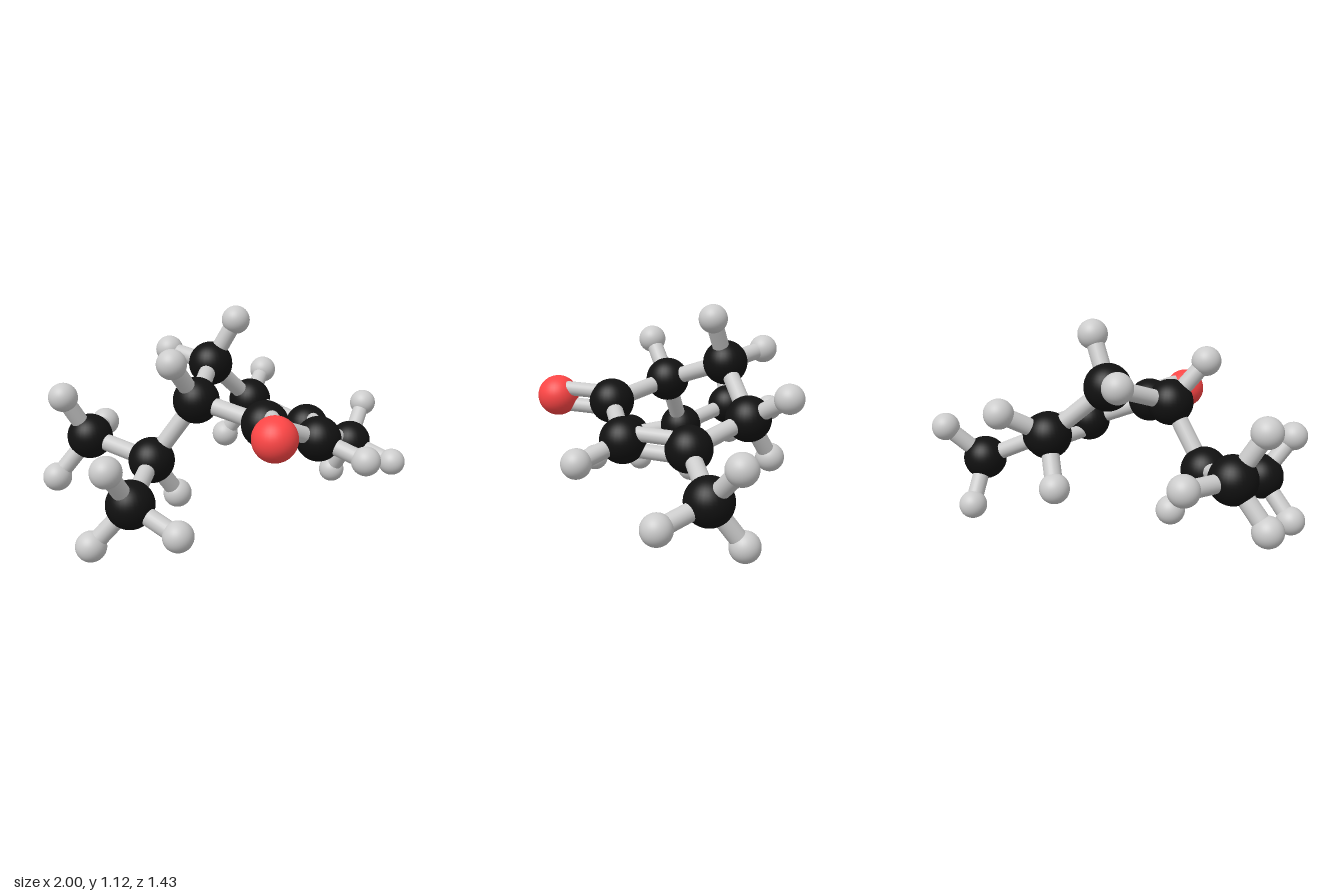
import * as THREE from 'three';

// element: [part name, radius, colour]
const ELEMENTS = {
  C: ['carbonAtom', 0.118, 0x111111],
  O: ['oxygenAtom', 0.108, 0xff4646],
  H: ['hydrogenAtom', 0.075, 0xcccccc],
};

// heavy atoms: element and position
const ATOMS = {
  branch: ['C', -0.51, 0.38, -0.10],
  branchBack: ['C', -0.72, 0.46, -0.42],
  branchFront: ['C', -0.75, 0.28, 0.19],
  ring1: ['C', -0.30, 0.69, 0.00],
  ring2: ['C', -0.09, 0.61, 0.32],
  ring3: ['C', 0.26, 0.475, 0.28],
  ring4: ['C', 0.40, 0.455, -0.03],
  ring5: ['C', 0.225, 0.56, -0.355],
  ring6: ['C', -0.065, 0.81, -0.285],
  tail: ['C', 0.745, 0.30, -0.075],
  oxygen: ['O', -0.215, 0.625, 0.605],
};

// hydrogens attached to each heavy atom
const HYDROGENS = {
  branch: [[-0.35, 0.16, -0.14]],
  branchBack: [[-0.55, 0.465, -0.645], [-0.895, 0.25, -0.465], [-0.86, 0.69, -0.40]],
  branchFront: [[-0.925, 0.08, 0.115], [-0.895, 0.49, 0.28], [-0.61, 0.17, 0.41]],
  ring1: [[-0.465, 0.90, 0.07]],
  ring3: [[0.39, 0.395, 0.51]],
  ring5: [[0.41, 0.69, -0.515], [0.135, 0.335, -0.49]],
  ring6: [[-0.20, 0.865, -0.52], [0.045, 1.05, -0.20]],
  tail: [[0.92, 0.49, -0.185], [0.86, 0.22, 0.17], [0.74, 0.08, -0.24]],
};

const SINGLE = [
  ['branch', 'branchBack'], ['branch', 'branchFront'], ['branch', 'ring1'],
  ['ring1', 'ring2'], ['ring2', 'ring3'], ['ring4', 'ring5'],
  ['ring5', 'ring6'], ['ring6', 'ring1'], ['ring4', 'tail'],
];
const DOUBLE = [['ring2', 'oxygen'], ['ring3', 'ring4']];

export function createModel() {
  const model = new THREE.Group();
  const materials = {}, spheres = {};
  for (const [key, [, radius, color]] of Object.entries(ELEMENTS)) {
    materials[key] = new THREE.MeshStandardMaterial({ color });
    spheres[key] = new THREE.SphereGeometry(radius, 32, 24);
  }
  const bondMaterial = new THREE.MeshStandardMaterial({ color: 0xcccccc });

  const addAtom = (element, position) => {
    const atom = new THREE.Mesh(spheres[element], materials[element]);
    atom.name = ELEMENTS[element][0];
    atom.position.copy(position);
    model.add(atom);
  };

  // cylinder running from point a to point b
  const addBond = (a, b, radius, name) => {
    const axis = b.clone().sub(a);
    const bond = new THREE.Mesh(
      new THREE.CylinderGeometry(radius, radius, axis.length(), 24), bondMaterial);
    bond.name = name;
    bond.position.copy(a).addScaledVector(axis, 0.5);
    bond.quaternion.setFromUnitVectors(new THREE.Vector3(0, 1, 0), axis.normalize());
    model.add(bond);
  };

  // heavy atoms
  const points = {};
  for (const [key, [element, x, y, z]] of Object.entries(ATOMS)) {
    points[key] = new THREE.Vector3(x, y, z);
    addAtom(element, points[key]);
  }

  // hydrogens with their bonds
  for (const [key, list] of Object.entries(HYDROGENS)) {
    for (const p of list) {
      const position = new THREE.Vector3(...p);
      addAtom('H', position);
      addBond(points[key], position, 0.044, 'hydrogenBond');
    }
  }

  for (const [a, b] of SINGLE) addBond(points[a], points[b], 0.044, 'singleBond');

  // double bonds: two rods spread along the ring's normal
  for (const [a, b] of DOUBLE) {
    const axis = points[b].clone().sub(points[a]).normalize();
    const spread = new THREE.Vector3(0.37, 0.92, 0.11).projectOnPlane(axis).setLength(0.051);
    for (const side of [-1, 1]) {
      addBond(points[a].clone().addScaledVector(spread, side),
        points[b].clone().addScaledVector(spread, side), 0.038, 'doubleBondRod');
    }
  }
  return model;
}
